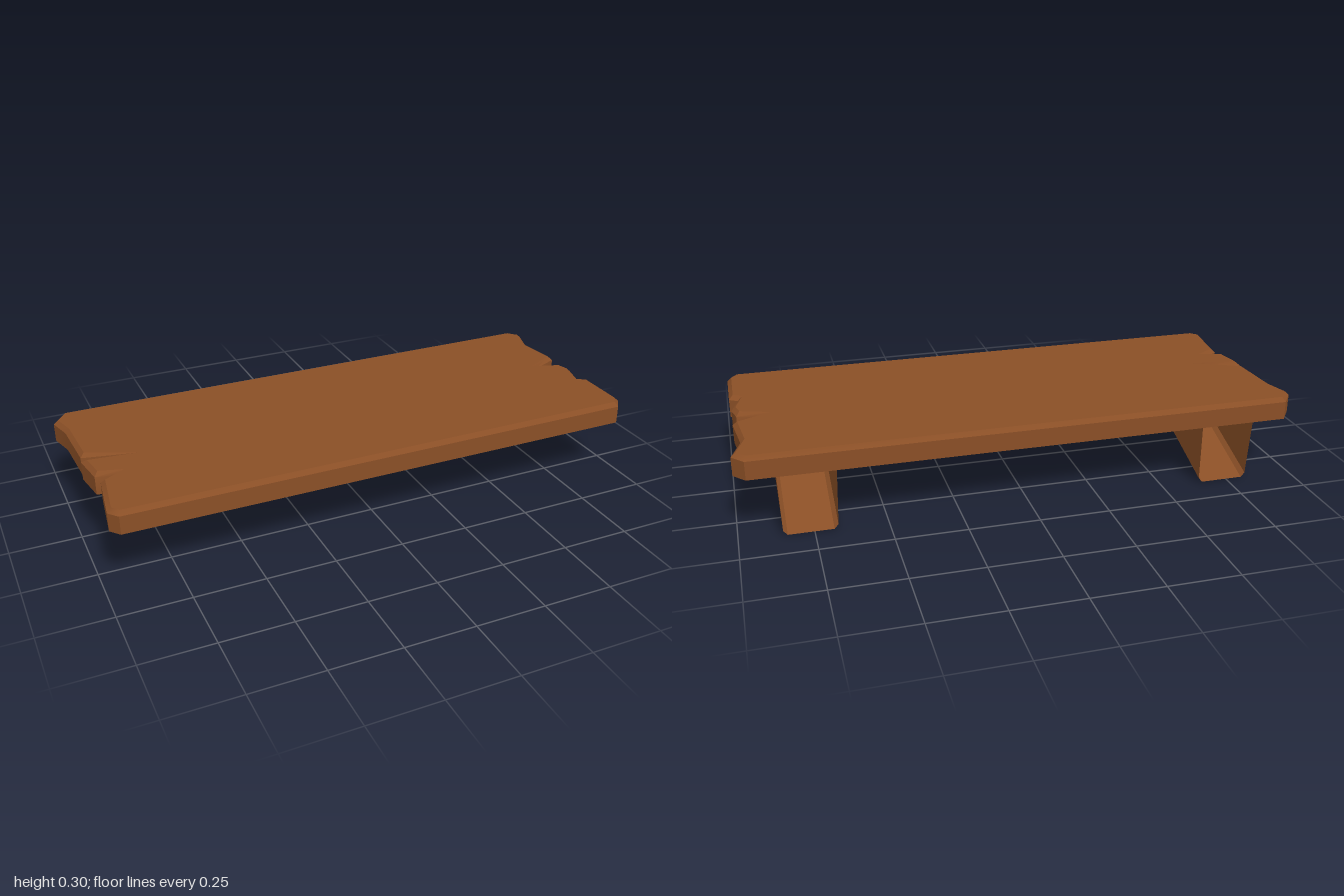
import * as THREE from 'three';
import { toCreasedNormals } from 'three/addons/utils/BufferGeometryUtils.js';

const wood = new THREE.MeshStandardMaterial({ color: 0x8a4f26, side: THREE.DoubleSide });

// Plank outline as (x, z), counter-clockwise seen from above
const OUTLINE = [
  // left end with a long crack and a chip
  [-0.955, -0.39], [-1, -0.33], [-0.975, -0.24], [-0.965, -0.035], [-0.81, 0.025], [-0.97, -0.005],
  [-0.95, 0.115], [-0.88, 0.13], [-0.94, 0.16], [-0.965, 0.355], [-0.935, 0.39],
  // right end with a split
  [0.955, 0.39], [0.985, 0.35], [0.985, 0.155], [0.955, 0.137], [0.98, 0.045], [0.965, -0.01],
  [0.875, -0.035], [0.98, -0.08], [0.96, -0.24], [0.995, -0.345], [0.955, -0.39],
];

// Move every corner inward along its mitre, limited at sharp corners
function inset(points, d) {
  const n = points.length;
  return points.map((p, i) => {
    const a = points[(i + n - 1) % n], b = points[(i + 1) % n];
    const e1 = p.clone().sub(a).normalize(), e2 = b.clone().sub(p).normalize();
    const n1 = new THREE.Vector2(-e1.y, e1.x), n2 = new THREE.Vector2(-e2.y, e2.x);
    const m = n1.clone().add(n2).normalize();
    return p.clone().addScaledVector(m, Math.min(d / Math.max(m.dot(n1), 0.1), d * 1.8));
  });
}

function build(positions, indices, crease) {
  const g = new THREE.BufferGeometry();
  g.setAttribute('position', new THREE.Float32BufferAttribute(positions, 3));
  g.setIndex(indices);
  return toCreasedNormals(g, crease);
}

// Board: straight walls, a chamfer round the top, flat caps
function plankGeometry() {
  const outer = OUTLINE.map(([x, z]) => new THREE.Vector2(x, -z));
  const inner = inset(outer, 0.015);
  const n = outer.length, pos = [], idx = [];
  [[outer, 0.222], [outer, 0.288], [inner, 0.303]].forEach(([ring, y]) =>
    ring.forEach((p) => pos.push(p.x, y, -p.y)));
  for (let r = 0; r < 2; r++) {
    for (let i = 0; i < n; i++) {
      const a = r * n + i, b = r * n + (i + 1) % n;
      idx.push(a, b, b + n, a, b + n, a + n);
    }
  }
  THREE.ShapeUtils.triangulateShape(inner, []).forEach(([a, b, c]) => idx.push(a + 2 * n, b + 2 * n, c + 2 * n));
  THREE.ShapeUtils.triangulateShape(outer, []).forEach(([a, b, c]) => idx.push(a, c, b));
  return build(pos, idx, 0.6);
}

// Hollow bracket, open at the back: U-shaped sections swept from back to front
function bracketGeometry(dent) {
  const top = 0.224, w = 0.0975;
  // z at the bottom, height of the bottom, z at the top
  const stations = [[-0.378, 0, -0.39], [-0.03, 0.12, -0.03], [0.025, 0.146, 0.025],
    [0.043, 0.165, 0.043], [0.053, top, 0.053]];
  const pos = [], idx = [], cols = 7;
  stations.forEach(([zb, yb, zt], s) => {
    const c = Math.min(0.016, top - yb);
    const k = s >= 3 ? dent : 0;
    pos.push(-w, top, zt, -w + 0.006, yb + c, zb, -w + 0.02, yb, zb, 0, yb, zb - k,
      w - 0.02, yb, zb, w - 0.006, yb + c, zb, w, top, zt);
  });
  for (let s = 0; s < stations.length - 1; s++) {
    for (let i = 0; i < cols - 1; i++) {
      const a = s * cols + i, b = a + cols;
      idx.push(a, a + 1, b + 1, a, b + 1, b);
    }
  }
  return build(pos, idx, 0.5);
}

export function createModel() {
  const group = new THREE.Group();
  group.name = 'wallShelf';
  const add = (name, geometry, x = 0) => {
    const mesh = new THREE.Mesh(geometry, wood);
    mesh.name = name;
    mesh.position.x = x;
    group.add(mesh);
  };
  add('plank', plankGeometry());
  add('rightBracket', bracketGeometry(0), -0.733);
  add('leftBracket', bracketGeometry(0.012), 0.762);
  return group;
}
